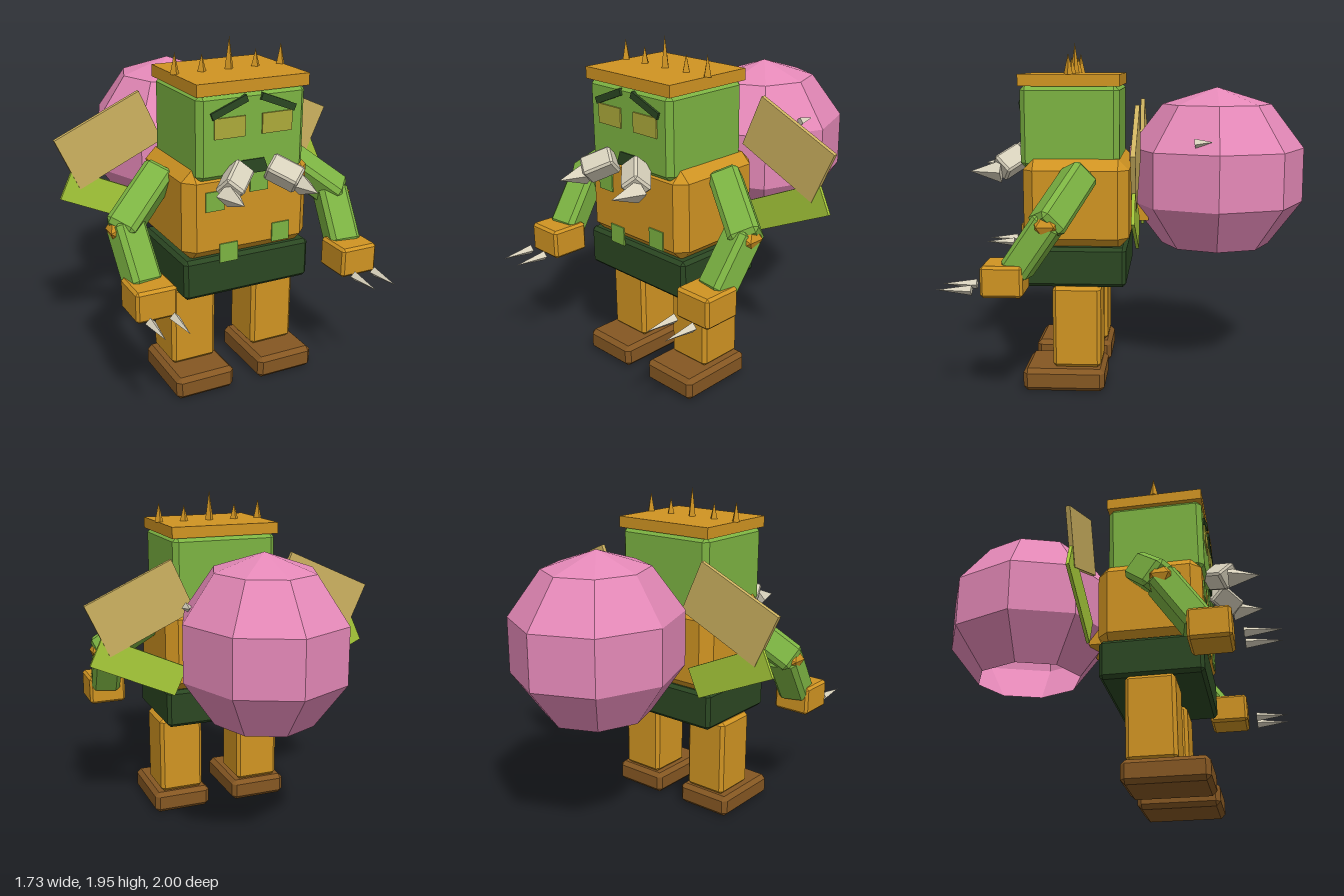
import * as THREE from 'three';
import { ConvexGeometry } from 'three/addons/geometries/ConvexGeometry.js';

const V = (x, y, z) => new THREE.Vector3(x, y, z);
const UP = V(0, 1, 0);

function mat(name, color, side = THREE.FrontSide) {
  const m = new THREE.MeshStandardMaterial({ color, side, flatShading: true });
  m.name = name;
  return m;
}

// Box with chamfered edges, centred on the origin
function chamferBox(w, h, d, c) {
  const pts = [];
  for (const x of [-1, 1]) for (const y of [-1, 1]) for (const z of [-1, 1]) {
    const a = w / 2, b = h / 2, e = d / 2;
    pts.push(V(x * a, y * (b - c), z * (e - c)));
    pts.push(V(x * (a - c), y * b, z * (e - c)));
    pts.push(V(x * (a - c), y * (b - c), z * e));
  }
  return new ConvexGeometry(pts);
}

export function createModel() {
  const root = new THREE.Group();
  root.name = 'creature';
  const green = mat('skin green', 0x7cb342);
  const orange = mat('orange cloth', 0xd09422);
  const dark = mat('dark green', 0x2b4722);
  const brown = mat('boot brown', 0x855722);
  const pink = mat('balloon pink', 0xe589b8, THREE.DoubleSide);
  const ivory = mat('ivory', 0xd8d1bc);
  const yellow = mat('eye yellow', 0xacaa3a);
  const tan = mat('upper wing tan', 0xcdb260);
  const lime = mat('lower wing lime', 0xa8cc3a);

  function add(name, geometry, material, pos) {
    const m = new THREE.Mesh(geometry, material);
    m.name = name;
    m.position.copy(pos);
    root.add(m);
    return m;
  }
  const bevel = (name, material, x, y, z, w, h, d, c = 0.02) =>
    add(name, chamferBox(w, h, d, c), material, V(x, y, z));
  const box = (name, material, x, y, z, w, h, d) =>
    add(name, new THREE.BoxGeometry(w, h, d), material, V(x, y, z));

  // Turns a part built along y so that it runs from a to b
  function between(name, geometry, material, a, b) {
    const m = add(name, geometry, material, a.clone().lerp(b, 0.5));
    m.quaternion.setFromUnitVectors(UP, b.clone().sub(a).normalize());
    return m;
  }
  const limb = (name, material, a, b, w, d, c = 0.025) =>
    between(name, chamferBox(w, a.distanceTo(b), d, c), material, a, b);
  const spike = (name, material, a, b, r) =>
    between(name, new THREE.ConeGeometry(r, a.distanceTo(b), 4), material, a, b);

  // Body and head
  bevel('torso', orange, 0, 1.06, 0.295, 0.75, 0.5, 0.59, 0.06);
  bevel('belt', dark, 0, 0.71, 0.3, 0.76, 0.225, 0.57, 0.02);
  bevel('head', green, 0, 1.485, 0.33, 0.63, 0.46, 0.55, 0.03);
  box('crownBand', orange, 0, 1.74, 0.33, 0.65, 0.065, 0.56);
  [[0, 0.175], [0.16, 0.095], [0.315, 0.115]].forEach(([x, h]) => {
    for (const s of x ? [-1, 1] : [1])
      spike('crownSpike', orange, V(s * x, 1.77, 0.33), V(s * x, 1.77 + h, 0.33), 0.026);
  });

  // Cloth patches
  [[-0.212, 1.145], [0.047, 1.22], [-0.128, 0.845], [0.187, 0.91]].forEach(([x, y]) =>
    box('patch', green, x, y, 0.593, 0.107, 0.107, 0.009));

  // Mouth
  const mouth = new THREE.Shape([[-0.065, 1.35], [-0.095, 1.275], [0.095, 1.275], [0.065, 1.35]]
    .map(([x, y]) => new THREE.Vector2(x, y)));
  add('mouth', new THREE.ExtrudeGeometry(mouth, { depth: 0.009, bevelEnabled: false }), dark, V(0, 0, 0.603));

  for (const s of [-1, 1]) {
    // Face
    box('eye', yellow, s * 0.138, 1.535, 0.61, 0.177, 0.108, 0.009);
    const brow = box('brow', dark, s * 0.142, 1.64, 0.605, 0.215, 0.038, 0.025);
    brow.rotation.z = -s * 0.38;
    limb('tusk', ivory, V(s * 0.085, 1.31, 0.63), V(s * 0.205, 1.24, 0.74), 0.125, 0.115, 0.012);
    spike('tuskTip', ivory, V(s * 0.21, 1.225, 0.73), V(s * 0.21, 1.225, 0.91), 0.065);

    // Arms
    limb('upperArm', green, V(s * 0.37, 1.24, 0.26), V(s * 0.68, 0.99, 0.42), 0.17, 0.17);
    add('elbow', new THREE.IcosahedronGeometry(0.088, 0), orange, V(s * 0.66, 1.005, 0.41));
    limb('forearm', green, V(s * 0.635, 1.03, 0.39), V(s * 0.615, 0.74, 0.59), 0.175, 0.16);
    bevel('hand', orange, s * 0.612, 0.71, 0.645, 0.225, 0.17, 0.225, 0.015);
    for (const x of [0.545, 0.675])
      spike('claw', ivory, V(s * x, 0.655, 0.81), V(s * x, 0.655, 1), 0.028);

    // Legs
    bevel('leg', orange, s * 0.252, 0.365, 0.293, 0.267, 0.47, 0.272);
    bevel('boot', brown, s * 0.255, 0.065, 0.365, 0.35, 0.13, 0.46, 0.025);

    // Wings
    const upper = box('upperWing', tan, s * 0.55, 1.35, -0.048, 0.545, 0.325, 0.025);
    const lower = box('lowerWing', lime, s * 0.565, 1.015, -0.048, 0.535, 0.18, 0.018);
    upper.rotation.z = -s * 0.426;
    lower.rotation.z = s * 0.433;
  }

  // Faceted back sac, open underneath, with its connector and thorn
  const sac = add('backSac', new THREE.SphereGeometry(1, 8, 4, 0, Math.PI * 2, 0, Math.PI * 0.8), pink, V(0, 1.19, -0.49));
  sac.scale.set(0.478, 0.505, 0.532);
  box('sacConnector', orange, 0, 1.055, -0.045, 0.22, 0.25, 0.11);
  spike('sacThorn', ivory, V(0.385, 1.405, -0.36), V(0.4, 1.415, -0.455), 0.027);

  return root;
}
